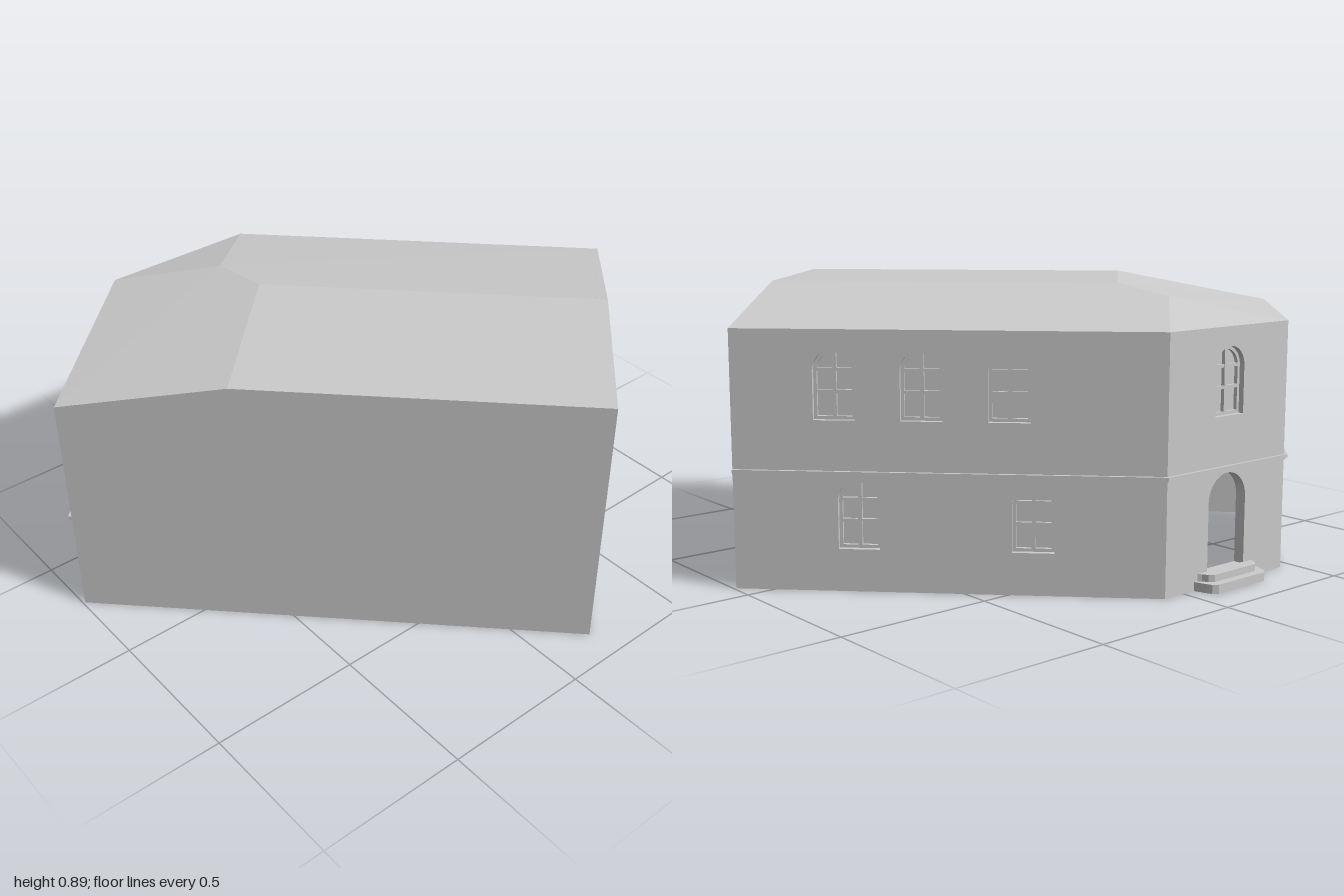
import * as THREE from 'three';

const T = 0.036; // wall thickness
const EAVE = 0.79, TOP = 0.89;
const material = new THREE.MeshStandardMaterial({ color: 0xcccccc, flatShading: true });
const sheet = new THREE.MeshStandardMaterial({ color: 0xcccccc, flatShading: true, side: THREE.DoubleSide });

// Plan corners as [x, z]
const A = [-0.993, -0.285], B = [-0.45, -0.828], C = [0.08, -0.828], D = [0.992, 0.084], E = [0.18, 0.893];

function mesh(name, geometry, mat = material) {
  const m = new THREE.Mesh(geometry, mat);
  m.name = name;
  return m;
}

// Round-headed outline; inset shrinks it evenly
function arch(path, x, y0, y1, w, inset = 0) {
  const r = w / 2 - inset;
  path.moveTo(x - r, y0 + inset);
  path.lineTo(x + r, y0 + inset);
  path.lineTo(x + r, y1 - w / 2);
  path.absarc(x, y1 - w / 2, r, 0, Math.PI, false);
  path.lineTo(x - r, y0 + inset);
  return path;
}

function extrude(shape, depth) {
  return new THREE.ExtrudeGeometry(shape, { depth, bevelEnabled: false, curveSegments: 12 });
}

// Recessed window: pane, arched frame, mullion and two transoms
function makeWindow(x, y0, w = 0.125, h = 0.21) {
  const g = new THREE.Group();
  g.name = 'window';
  const y1 = y0 + h;
  const pane = mesh('pane', extrude(arch(new THREE.Shape(), x, y0, y1, w), 0.004));
  pane.position.z = -0.034;
  const ring = arch(new THREE.Shape(), x, y0, y1, w);
  ring.holes.push(arch(new THREE.Path(), x, y0, y1, w, 0.01));
  const frame = mesh('windowFrame', extrude(ring, 0.014));
  frame.position.z = -0.032;
  const mullion = mesh('mullion', new THREE.BoxGeometry(0.012, h - 0.01, 0.014));
  mullion.position.set(x, y0 + h / 2, -0.025);
  g.add(pane, frame, mullion);
  for (const f of [0.4, 0.71]) {
    const bar = mesh('transom', new THREE.BoxGeometry(w - 0.01, 0.01, 0.012));
    bar.position.set(x, y0 + h * f, -0.025);
    g.add(bar);
  }
  return g;
}

// Wall from p to q, left to right as seen from outside, mitred by the corner angles
function makeWall(name, p, q, angles, { profile, windows = [], door } = {}) {
  const dx = q[0] - p[0], dz = q[1] - p[1], L = Math.hypot(dx, dz);
  const top = profile ? profile(L) : [[L, EAVE], [0, EAVE]];
  const shape = new THREE.Shape([[0, 0], [L, 0], ...top].map(v => new THREE.Vector2(...v)));
  const g = new THREE.Group();
  g.name = name;
  for (const [x, y0] of windows) {
    shape.holes.push(arch(new THREE.Path(), x, y0, y0 + 0.21, 0.125));
    g.add(makeWindow(x, y0));
  }
  if (door) shape.holes.push(arch(new THREE.Path(), ...door));
  const geo = extrude(shape, T).translate(0, 0, -T);
  const pos = geo.attributes.position;
  const [s0, s1] = angles.map(a => T / Math.tan(THREE.MathUtils.degToRad(a / 2)));
  for (let i = 0; i < pos.count; i++) {
    if (pos.getZ(i) > -T / 2) continue;
    const x = pos.getX(i);
    if (x < 1e-4) pos.setX(i, s0);
    else if (x > L - 1e-4) pos.setX(i, L - s1);
  }
  geo.computeVertexNormals();
  g.add(mesh('wallPanel', geo));
  g.position.set(p[0], 0, p[1]);
  g.rotation.y = Math.atan2(-dz, dx);
  return g;
}

// Plan outline extruded upward from y0 to y1
function slab(name, points, y0, y1) {
  const shape = new THREE.Shape(points.map(([x, z]) => new THREE.Vector2(x, -z)));
  return mesh(name, extrude(shape, y1 - y0).rotateX(-Math.PI / 2).translate(0, y0, 0));
}

// Open plan line pushed outward by o with mitred corners
function offset(line, o) {
  const normals = line.slice(1).map((q, i) => {
    const dx = q[0] - line[i][0], dz = q[1] - line[i][1], l = Math.hypot(dx, dz);
    return [dz / l, -dx / l];
  });
  return line.map(([x, z], i) => {
    const a = normals[Math.max(i - 1, 0)], b = normals[Math.min(i, normals.length - 1)];
    const k = o / (1 + a[0] * b[0] + a[1] * b[1]);
    return [x + (a[0] + b[0]) * k, z + (a[1] + b[1]) * k];
  });
}

// Hipped roof with a flat top, made from planar facets
function makeRoof() {
  const at = ([x, z], y) => [x, y, z];
  const a = at(A, EAVE), b = at(B, EAVE), c = at(C, EAVE), d = at(D, EAVE), e = at(E, TOP);
  const w = [-0.618, TOP, 0.09], s = [0.617, TOP, 0.459], p = [-0.185, TOP, -0.343], h = [-0.185, 0.862, -0.57];
  const verts = [];
  for (const f of [[w, e, s, p], [d, c, h, p, s], [a, w, p, h, b], [c, b, h]])
    for (let i = 1; i < f.length - 1; i++) verts.push(...f[0], ...f[i], ...f[i + 1]);
  const geo = new THREE.BufferGeometry();
  geo.setAttribute('position', new THREE.Float32BufferAttribute(verts, 3));
  geo.computeVertexNormals();
  return mesh('roof', geo, sheet);
}

export function createModel() {
  const model = new THREE.Group();
  model.name = 'cornerBuilding';
  const low = 0.13, high = 0.52, slope = 0.53;

  // Blank party walls, with one end sloping down to the eaves
  model.add(makeWall('longPartyWall', A, E, [90, 90], { profile: L => [[L, TOP], [slope, TOP], [0, EAVE]] }));
  model.add(makeWall('shortPartyWall', E, D, [90, 90], { profile: L => [[L, EAVE], [L - slope, TOP], [0, TOP]] }));

  // Street walls
  model.add(makeWall('longStreetWall', D, C, [90, 135], {
    windows: [[0.31, high], [0.57, high], [0.83, high], [0.38, low], [0.9, low]],
  }));
  model.add(makeWall('entranceWall', C, B, [135, 135], {
    windows: [[0.265, high]], door: [0.265, 0.045, 0.345, 0.166],
  }));
  model.add(makeWall('shortStreetWall', B, A, [135, 90], {
    windows: [[0.068, high], [0.32, high], [0.385, low]],
  }));
  model.add(makeRoof());

  // Stepped string course along the street walls
  const street = [A, B, C, D];
  for (const [o, y0, y1] of [[0.006, 0.352, 0.358], [0.011, 0.358, 0.368]])
    model.add(slab('stringCourse', [...offset(street, o), ...offset(street, -0.003).reverse()], y0, y1));

  // Entrance steps with rounded corners
  const step = (name, half, front, y0, y1) => {
    const side = [[half, -0.826], [half - 0.012, front + 0.03], [half - 0.02, front + 0.012], [half - 0.036, front]];
    const points = [...side.map(([x, z]) => [-0.185 + x, z]), ...side.reverse().map(([x, z]) => [-0.185 - x, z])];
    model.add(slab(name, points.reverse(), y0, y1));
  };
  step('lowerStep', 0.14, -0.895, 0, 0.028);
  step('upperStep', 0.128, -0.868, 0.028, 0.05);
  return model;
}
